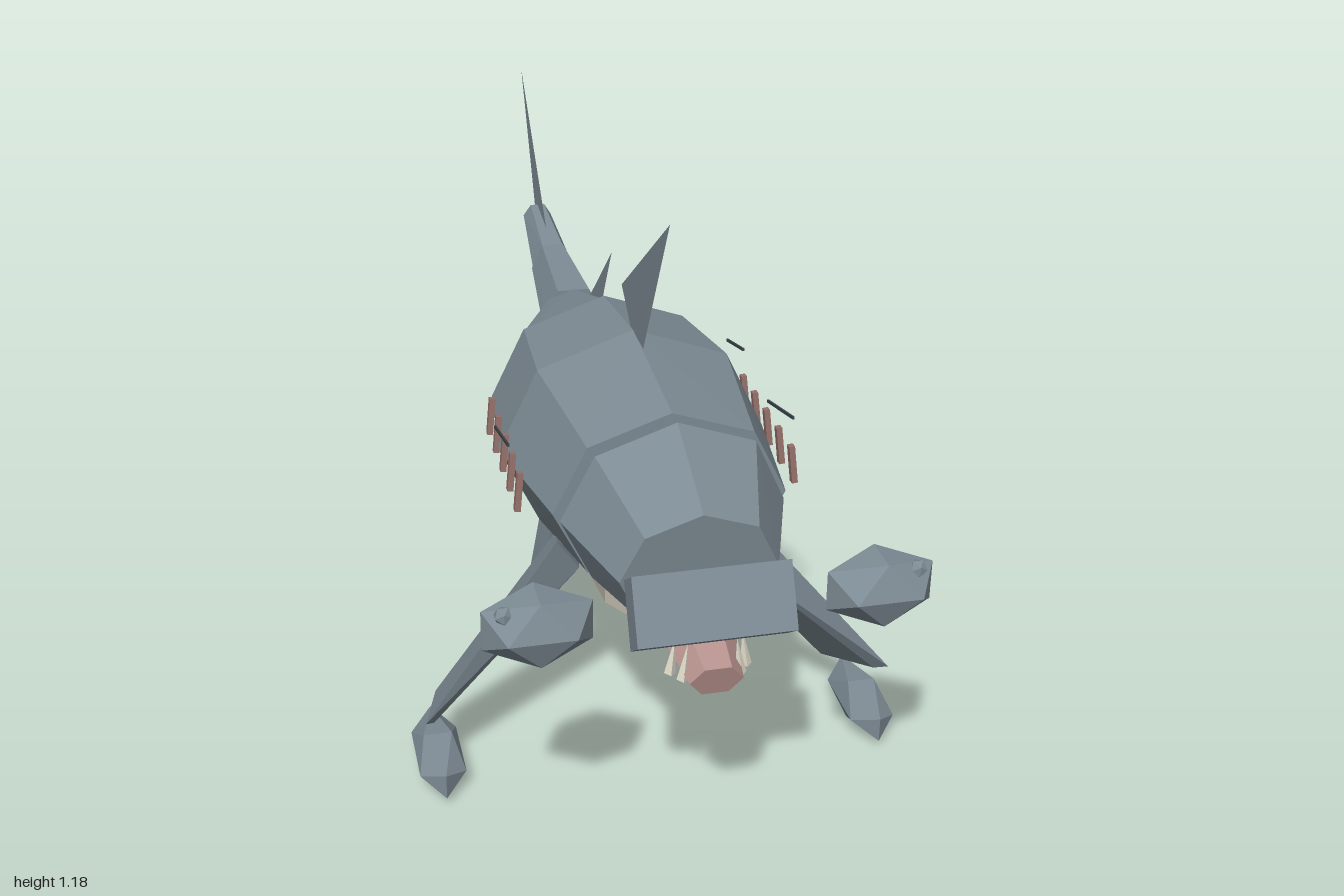
import * as THREE from 'three';
import { ConvexGeometry } from 'three/addons/geometries/ConvexGeometry.js';

const V = (x, y, z) => new THREE.Vector3(x, y, z);

function makeMaterial(name, color, extra = {}) {
  const m = new THREE.MeshStandardMaterial({ color, flatShading: true, ...extra });
  m.name = name;
  return m;
}

// Elliptical ring of points around the z axis; lean shifts the top forward
function ring(z, y, rx, ry, lean = 0, sides = 8, turn = 0) {
  return Array.from({ length: sides }, (_, i) => {
    const a = (i / sides) * Math.PI * 2 + turn;
    return V(rx * Math.sin(a), y + ry * Math.cos(a), z + lean * Math.cos(a));
  });
}

export function createModel() {
  const model = new THREE.Group();
  model.name = 'walkingShark';

  const skin = makeMaterial('slate skin', 0x7d8b94);
  const finSkin = makeMaterial('slate fin', 0x7d8b94, { side: THREE.DoubleSide });
  const bellyMat = makeMaterial('pale belly', 0xbdb5a6);
  const mouthMat = makeMaterial('pink mouth', 0xb8938f);
  const gillMat = makeMaterial('gill red', 0x95706a);
  const toothMat = makeMaterial('tooth ivory', 0xe2dccb);
  const scarMat = makeMaterial('dark scar', 0x3c444a);

  function add(name, geometry, material, pos) {
    const mesh = new THREE.Mesh(geometry, material);
    mesh.name = name;
    if (pos) mesh.position.set(...pos);
    model.add(mesh);
    return mesh;
  }
  const hull = (name, points, material = skin) => add(name, new ConvexGeometry(points), material);

  // Body segments, front to back
  hull('head', [...ring(0.845, 0.61, 0.15, 0.13, 0.015), ...ring(0.645, 0.635, 0.22, 0.195, 0.02)]);
  hull('body', [
    ...ring(0.625, 0.64, 0.23, 0.19),
    ...ring(0.3, 0.62, 0.28, 0.243),
    ...ring(0.02, 0.61, 0.25, 0.215),
  ]);
  hull('hindBody', [...ring(0.015, 0.615, 0.245, 0.2), ...ring(-0.325, 0.632, 0.08, 0.072)]);

  // Two tail segments with a visible joint
  const joint = Math.PI / 6;
  hull('tailBase', [
    ...ring(-0.315, 0.627, 0.075, 0.09, 0, 6, joint),
    ...ring(-0.58, 0.663, 0.052, 0.067, 0, 6, joint),
  ]);
  hull('tailTip', [
    ...ring(-0.58, 0.667, 0.05, 0.062, 0, 6, joint),
    ...ring(-0.79, 0.727, 0.035, 0.034, 0.01, 6, joint),
  ]);

  // Belly plate, wider at the top
  const belly = [];
  for (const [z, top, bottom] of [[0.68, 0.5, 0.437], [0.3, 0.45, 0.373]]) {
    for (const s of [-1, 1]) {
      belly.push(V(s * 0.14, top, z), V(s * 0.14, (top + bottom) / 2, z), V(s * 0.1, bottom, z));
    }
  }
  hull('belly', belly, bellyMat);

  // Snout block: a tilted bar across the face
  const snout = [];
  for (const x of [-0.147, 0.147]) {
    for (const [z, y] of [[0.925, 0.67], [0.98, 0.555], [0.925, 0.515], [0.87, 0.63]]) snout.push(V(x, y, z));
  }
  hull('snout', snout);

  // Mouth and teeth
  hull('mouth', [
    ...ring(0.975, 0.465, 0.05, 0.036, 0.01, 6, joint),
    ...ring(0.865, 0.482, 0.066, 0.045, 0.01, 6, joint),
  ], mouthMat);

  // Flat fins, outlined as [z, y]
  function flatFin(name, outline) {
    const shape = new THREE.Shape(outline.map(([z, y]) => new THREE.Vector2(z, y)));
    add(name, new THREE.ShapeGeometry(shape).rotateY(-Math.PI / 2), finSkin);
  }
  flatFin('dorsalFin', [[0.585, 1.19], [0.195, 0.92], [0.28, 0.86], [0.39, 0.86]]);
  flatFin('rearDorsalFin', [[0.1, 0.955], [-0.14, 0.755], [0, 0.8]]);
  flatFin('tailFin', [
    [-0.99, 1.055], [-0.795, 0.7], [-0.71, 0.525], [-0.655, 0.3],
    [-0.49, 0.28], [-0.43, 0.46], [-0.58, 0.65], [-0.64, 0.715],
  ]);

  // Corner points of the paired limbs on the left side
  const pectoral = [
    [0.2, 0.51, 0.505], [0.18, 0.46, 0.38], [0.13, 0.41, 0.37], [0.15, 0.43, 0.48],
    [0.485, 0.175, 0.59], [0.445, 0.135, 0.42], [0.405, 0.095, 0.4], [0.465, 0.155, 0.56],
  ];
  const pelvic = [
    [0.125, 0.44, 0.135], [0.13, 0.44, 0.045], [0.09, 0.42, 0.04], [0.09, 0.42, 0.12],
    [0.175, 0.09, 0.1], [0.18, 0.09, 0], [0.115, 0.018, 0.015], [0.125, 0.035, 0.045],
  ];

  for (const s of [-1, 1]) {
    const side = s > 0 ? 'left' : 'right';
    const mirror = (points) => points.map(([x, y, z]) => V(s * x, y, z));

    hull(side + 'PectoralFin', mirror(pectoral));
    hull(side + 'PelvicFin', mirror(pelvic));

    // Faceted foot floating below the pectoral fin
    const foot = new THREE.IcosahedronGeometry(1, 0).scale(0.055, 0.051, 0.145);
    add(side + 'Foot', foot, skin, [s * 0.455, 0.055, 0.52]);

    // Faceted eye pod with a small bump
    const pod = new THREE.IcosahedronGeometry(1, 0).rotateZ(Math.PI / 2).scale(0.117, 0.075, 0.075);
    add(side + 'EyePod', pod, skin, [s * 0.315, 0.594, 0.925]);
    add(side + 'EyeBump', new THREE.IcosahedronGeometry(0.018, 0), skin, [s * 0.378, 0.633, 0.945]);

    // Teeth beside the mouth
    for (const [x, z] of [[0.05, 0.94], [0.067, 0.915]]) {
      const tooth = add(side + 'Tooth', new THREE.ConeGeometry(0.011, 0.075, 4), toothMat, [s * x, 0.49, z]);
      tooth.rotation.z = s * 0.12;
    }

    // Row of gill slits
    for (let i = 0; i < 5; i++) {
      const gill = add(side + 'Gill', new THREE.BoxGeometry(0.012, 0.08, 0.016), gillMat,
        [s * 0.277, 0.64, 0.18 + i * 0.085]);
      gill.rotation.x = -0.06;
      gill.rotation.z = s * 0.1;
    }

    // Thin scars
    const scars = s > 0 ? [[0.395, 0.7, 0.175], [0.062, 0.7, 0.13]] : [[0.395, 0.7, 0.175]];
    for (const [z, y, length] of scars) {
      const scar = add(side + 'Scar', new THREE.BoxGeometry(0.004, 0.006, length), scarMat, [s * 0.288, y, z]);
      scar.rotation.x = -0.24;
    }
  }

  return model;
}
